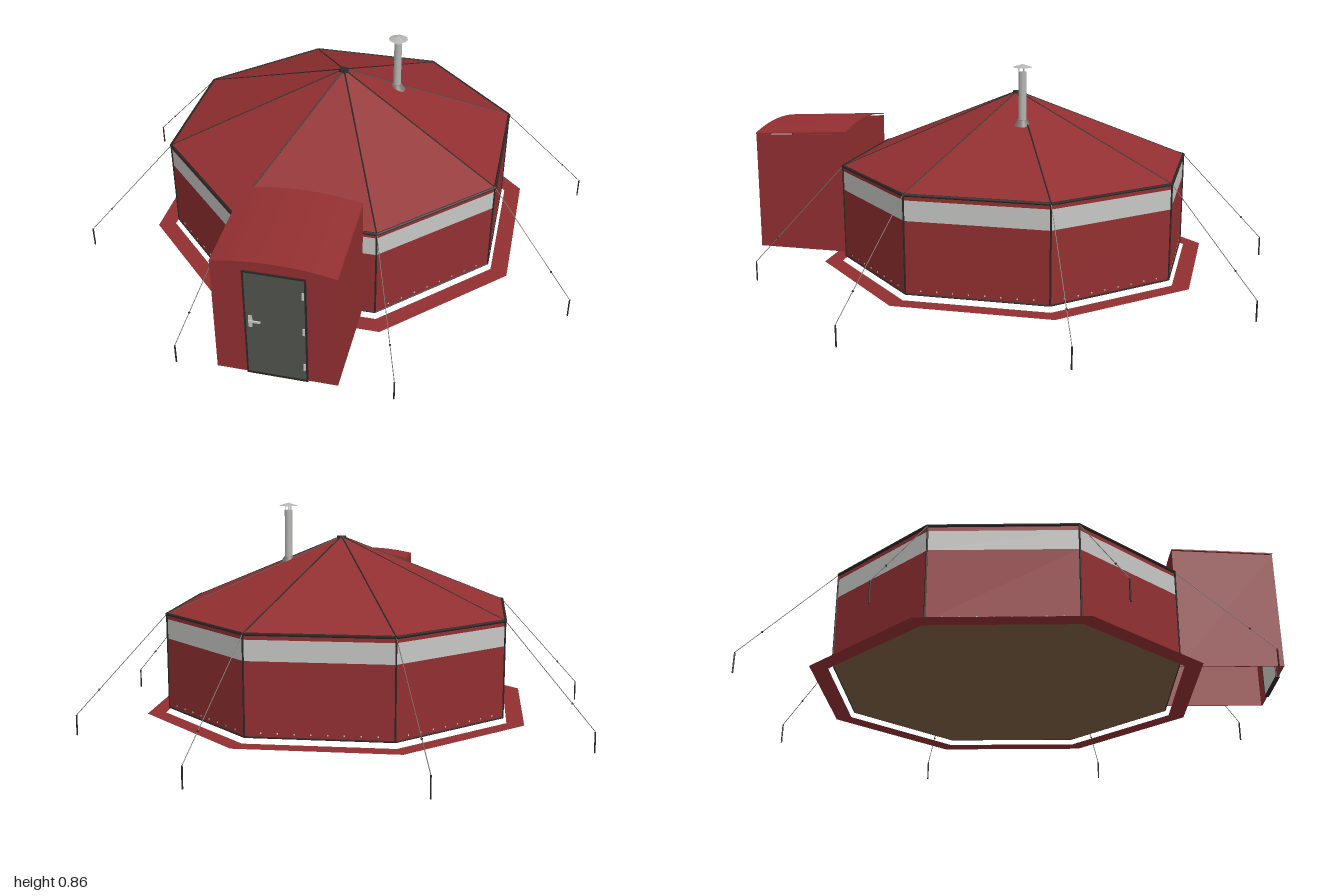
import * as THREE from 'three';

const CZ = -0.04;          // tent centre along z
const R = 0.689;           // wall corner radius
const BASE = 0.085, EAVE = 0.45, APEX = 0.725;

const mat = (name, color, double) => {
  const m = new THREE.MeshStandardMaterial({ color });
  m.name = name;
  if (double) m.side = THREE.DoubleSide;
  return m;
};

export function createModel() {
  const red = mat('red canvas', 0x922f31, true);
  const pale = mat('pale grey', 0xc6c6c4, true);
  const dark = mat('dark trim', 0x2b2725);
  const doorGrey = mat('door grey', 0x50534d);
  const brown = mat('brown groundsheet', 0x7c5f42, true);
  const rope = mat('rope grey', 0x77736e);
  const steel = mat('steel', 0xb4b4b2, true);

  const model = new THREE.Group();
  const tent = new THREE.Group();
  tent.name = 'tent';
  tent.position.z = CZ;
  const porch = new THREE.Group();
  porch.name = 'porch';
  model.add(tent, porch);

  const add = (parent, name, geo, material, x = 0, y = 0, z = 0) => {
    const m = new THREE.Mesh(geo, material);
    m.name = name;
    m.position.set(x, y, z);
    parent.add(m);
    return m;
  };
  const box = (parent, name, material, w, h, d, x, y, z) =>
    add(parent, name, new THREE.BoxGeometry(w, h, d), material, x, y, z);

  // Open eight-sided band with flat faces
  const band = (name, rTop, rBottom, y0, y1, material) => {
    const g = new THREE.CylinderGeometry(rTop, rBottom, y1 - y0, 8, 1, true, Math.PI / 8).toNonIndexed();
    g.computeVertexNormals();
    return add(tent, name, g, material, 0, (y0 + y1) / 2, 0);
  };
  // Thin rod between two points
  const rod = (name, a, b, r, material, sides = 6) => {
    const dir = b.clone().sub(a);
    const m = add(tent, name, new THREE.CylinderGeometry(r, r, dir.length(), sides), material);
    m.position.copy(a).add(b).multiplyScalar(0.5);
    m.quaternion.setFromUnitVectors(new THREE.Vector3(0, 1, 0), dir.normalize());
    return m;
  };
  const corner = (i, r, y) => {
    const t = Math.PI / 8 + i * Math.PI / 4;
    return new THREE.Vector3(Math.sin(t) * r, y, Math.cos(t) * r);
  };

  // Walls, stripe and roof
  band('lowerWall', R, R, BASE, 0.355, red);
  band('stripe', R, R, 0.355, 0.43, pale);
  band('upperWall', R, R, 0.43, EAVE, red);
  band('roof', 0.012, R + 0.005, EAVE, APEX, red);
  add(tent, 'roofCap', new THREE.CylinderGeometry(0.018, 0.02, 0.012, 12), dark, 0, APEX, 0);

  // Groundsheet and ground flap
  const floor = new THREE.CircleGeometry(R, 8, Math.PI / 8).rotateX(-Math.PI / 2);
  add(tent, 'groundsheet', floor, brown, 0, BASE - 0.003, 0);
  const flap = new THREE.RingGeometry(0.704, 0.774, 8, 1, Math.PI / 8).rotateX(-Math.PI / 2);
  add(tent, 'groundFlap', flap, red, 0, 0.065, 0);

  // Seams, posts, guy ropes and stakes at every corner
  for (let i = 0; i < 8; i++) {
    const eave = corner(i, R + 0.002, EAVE);
    const next = corner(i + 1, R + 0.002, EAVE);
    rod('eaveTrim', eave, next, 0.006, dark);
    rod('baseTrim', corner(i, R, BASE), corner(i + 1, R, BASE), 0.0035, dark);
    rod('wallSeam', corner(i, R, BASE), eave, 0.0035, dark);
    rod('roofSeam', eave, corner(i, 0.012, APEX), 0.003, dark);
    const stakeTop = corner(i, 1.04, 0.078);
    rod('guyRope', eave, stakeTop, 0.0015, rope, 5);
    add(tent, 'ropeSlider', new THREE.SphereGeometry(0.004, 8, 6), dark)
      .position.lerpVectors(eave, stakeTop, 0.75);
    rod('stake', corner(i, 1.04, 0), stakeTop, 0.003, dark);
    // Eyelets along the foot of each wall
    for (let k = 1; k < 9; k++) {
      const e = add(tent, 'eyelet', new THREE.BoxGeometry(0.005, 0.005, 0.003), pale);
      e.position.lerpVectors(corner(i, R, 0.1), corner(i + 1, R, 0.1), k / 9);
      e.rotation.y = (i + 1) * Math.PI / 4;
    }
  }

  // Stove pipe
  const px = 0.2, pz = -0.065;
  add(tent, 'pipeFlange', new THREE.CylinderGeometry(0.018, 0.034, 0.024, 16), rope, px, 0.642, pz);
  add(tent, 'stovePipe', new THREE.CylinderGeometry(0.015, 0.015, 0.215, 16), steel, px, 0.728, pz);
  for (let k = 0; k < 3; k++) {
    const t = k * Math.PI * 2 / 3;
    add(tent, 'capStay', new THREE.CylinderGeometry(0.0015, 0.0015, 0.024, 5), steel,
      px + Math.sin(t) * 0.013, 0.845, pz + Math.cos(t) * 0.013);
  }
  add(tent, 'pipeCap', new THREE.ConeGeometry(0.037, 0.012, 12), steel, px, 0.858, pz);

  // Porch side walls with sloping tops
  const HW = 0.215, Z0 = 0.6, Z1 = 0.985;
  const side = new THREE.Shape();
  side.moveTo(Z0, BASE);
  side.lineTo(Z1, BASE);
  side.lineTo(Z1, 0.546);
  side.lineTo(Z0, 0.568);
  side.closePath();
  const sideGeo = new THREE.ExtrudeGeometry(side, { depth: 0.006, bevelEnabled: false }).rotateY(-Math.PI / 2);
  add(porch, 'rightSideWall', sideGeo, red, -HW + 0.006);
  add(porch, 'leftSideWall', sideGeo, red, HW);

  // Arched front wall with door opening
  const front = new THREE.Shape();
  front.moveTo(-HW, BASE);
  front.lineTo(-HW, 0.55);
  front.quadraticCurveTo(0, 0.598, HW, 0.55);
  front.lineTo(HW, BASE);
  front.lineTo(0.11, BASE);
  front.lineTo(0.11, 0.535);
  front.lineTo(-0.105, 0.535);
  front.lineTo(-0.105, BASE);
  front.closePath();
  const wallOptions = { depth: 0.006, bevelEnabled: false, curveSegments: 16 };
  add(porch, 'frontWall', new THREE.ExtrudeGeometry(front, wallOptions), red, 0, 0, Z1 - 0.006);

  // Curved porch roof, sloping down to the front
  const arch = new THREE.Shape();
  arch.moveTo(-HW, 0);
  arch.quadraticCurveTo(0, 0.048, HW, 0);
  arch.lineTo(HW, -0.004);
  arch.quadraticCurveTo(0, 0.044, -HW, -0.004);
  const roofGeo = new THREE.ExtrudeGeometry(arch, { depth: 0.388, bevelEnabled: false, curveSegments: 16 });
  add(porch, 'porchRoof', roofGeo, red, 0, 0.577, Z0).rotation.x = 0.057;

  // Door with pale inner face, frame, handle and hinges
  const door = new THREE.Group();
  door.name = 'door';
  porch.add(door);
  box(door, 'doorLeaf', doorGrey, 0.207, 0.442, 0.006, 0.0025, 0.309, 0.985);
  box(door, 'doorLining', pale, 0.207, 0.442, 0.004, 0.0025, 0.309, 0.979);
  for (const x of [-0.103, 0.108]) box(door, 'doorJamb', dark, 0.006, 0.45, 0.014, x, 0.31, 0.983);
  box(door, 'doorHead', dark, 0.217, 0.006, 0.014, 0.0025, 0.533, 0.983);
  box(door, 'doorSill', dark, 0.217, 0.008, 0.014, 0.0025, 0.087, 0.983);
  box(door, 'handlePlate', pale, 0.014, 0.05, 0.003, -0.084, 0.322, 0.9895);
  box(door, 'handleLever', pale, 0.04, 0.007, 0.005, -0.068, 0.326, 0.995);
  for (const y of [0.15, 0.31, 0.465]) box(door, 'hinge', pale, 0.007, 0.028, 0.006, 0.1, y, 0.99);

  return model;
}
